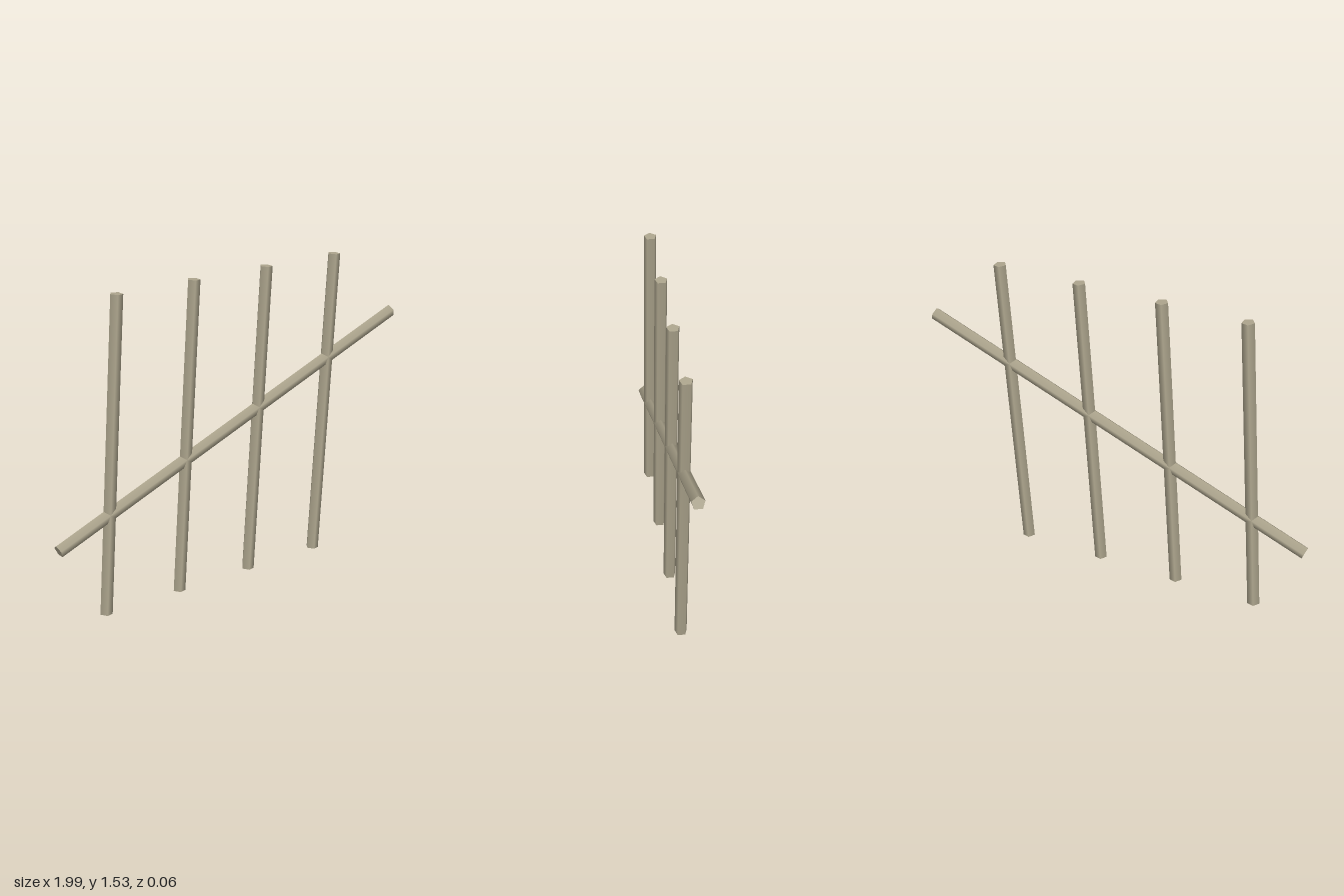
import * as THREE from 'three';

export function createModel() {
  const group = new THREE.Group();
  const wood = new THREE.MeshStandardMaterial({ color: 0xaea68e });
  wood.name = 'pale wood';

  // Five-sided rod between two points in the z = 0 plane, ridge on its left/upper side
  function rod(name, x0, y0, x1, y1) {
    const dx = x1 - x0, dy = y1 - y0;
    const geometry = new THREE.CylinderGeometry(0.031, 0.031, Math.hypot(dx, dy), 5, 1, false, -Math.PI / 2);
    const mesh = new THREE.Mesh(geometry, wood);
    mesh.name = name;
    mesh.position.set((x0 + x1) / 2, (y0 + y1) / 2, 0);
    mesh.rotation.z = -Math.atan2(dx, dy);
    group.add(mesh);
  }

  // Four leaning strokes
  for (let i = 0; i < 4; i++) {
    const x = -0.747 + i * 0.416;
    rod('post' + (i + 1), x, 0.002, x + 0.104, 1.528);
  }

  // Slanting crossbar through all of them
  rod('crossbar', -0.987, 0.385, 0.987, 1.179);

  return group;
}
